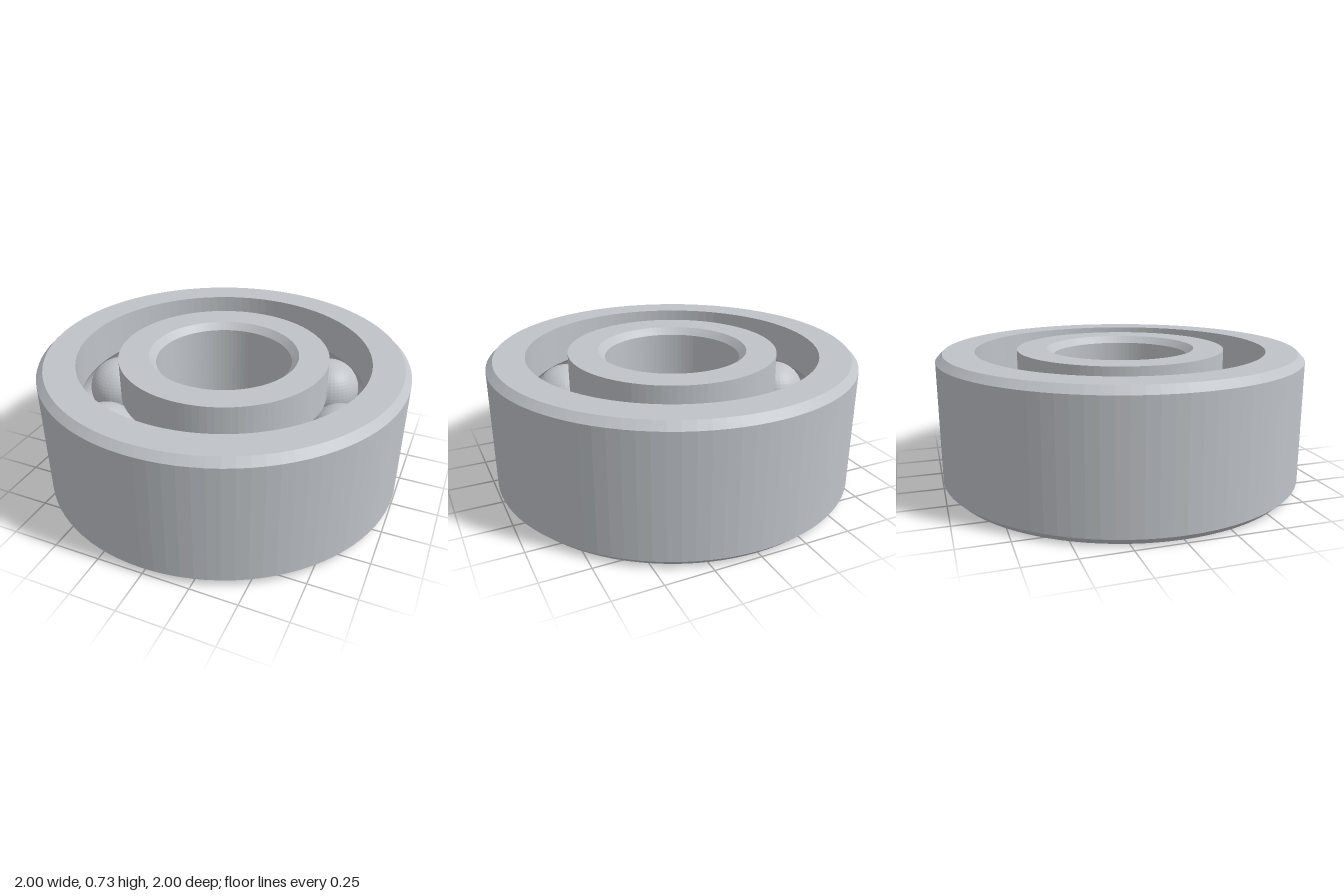
import * as THREE from 'three';

const HEIGHT = 0.727, MID = HEIGHT / 2, CHAMFER = 0.037;
const PITCH = 0.68, BALL = 0.177, GROOVE = 0.18;
const OUTER = 1, OUTER_WALL = 0.795, INNER_WALL = 0.57, BORE = 0.37;

// One normal per face, for crisp facets
function faceted(geometry) {
  const flat = geometry.toNonIndexed();
  flat.computeVertexNormals();
  return flat;
}

// Arc of the ball track in the (radius, height) plane
function groove(from, to, steps = 12) {
  return Array.from({ length: steps + 1 }, (_, i) => {
    const a = from + (to - from) * i / steps;
    return [PITCH + GROOVE * Math.cos(a), MID + GROOVE * Math.sin(a)];
  });
}

function ring(name, profile, material) {
  const points = [...profile, profile[0]].map(([r, y]) => new THREE.Vector2(r, y));
  const mesh = new THREE.Mesh(faceted(new THREE.LatheGeometry(points, 96)), material);
  mesh.name = name;
  return mesh;
}

export function createModel() {
  const group = new THREE.Group();
  group.name = 'ballBearing';
  const steel = new THREE.MeshStandardMaterial({ color: 0xbfc3c8 });
  steel.name = 'steel';

  // Outer ring: chamfered outside, ball track on the inner wall
  const a = Math.acos((OUTER_WALL - PITCH) / GROOVE);
  group.add(ring('outerRing', [
    [OUTER - CHAMFER, 0], [OUTER, CHAMFER],
    [OUTER, HEIGHT - CHAMFER], [OUTER - CHAMFER, HEIGHT],
    [OUTER_WALL, HEIGHT], ...groove(a, -a), [OUTER_WALL, 0],
  ], steel));

  // Inner ring: ball track on the outer wall, chamfered bore
  const b = Math.acos((PITCH - INNER_WALL) / GROOVE);
  group.add(ring('innerRing', [
    [INNER_WALL, 0], ...groove(Math.PI + b, Math.PI - b), [INNER_WALL, HEIGHT],
    [BORE + CHAMFER, HEIGHT], [BORE, HEIGHT - CHAMFER],
    [BORE, CHAMFER], [BORE + CHAMFER, 0],
  ], steel));

  // Eight balls on the pitch circle
  const ballGeometry = faceted(new THREE.SphereGeometry(BALL, 40, 28));
  for (let i = 0; i < 8; i++) {
    const angle = i * Math.PI / 4;
    const ball = new THREE.Mesh(ballGeometry, steel);
    ball.name = `ball${i + 1}`;
    ball.position.set(PITCH * Math.cos(angle), MID, PITCH * Math.sin(angle));
    ball.rotation.y = -angle;
    group.add(ball);
  }
  return group;
}
